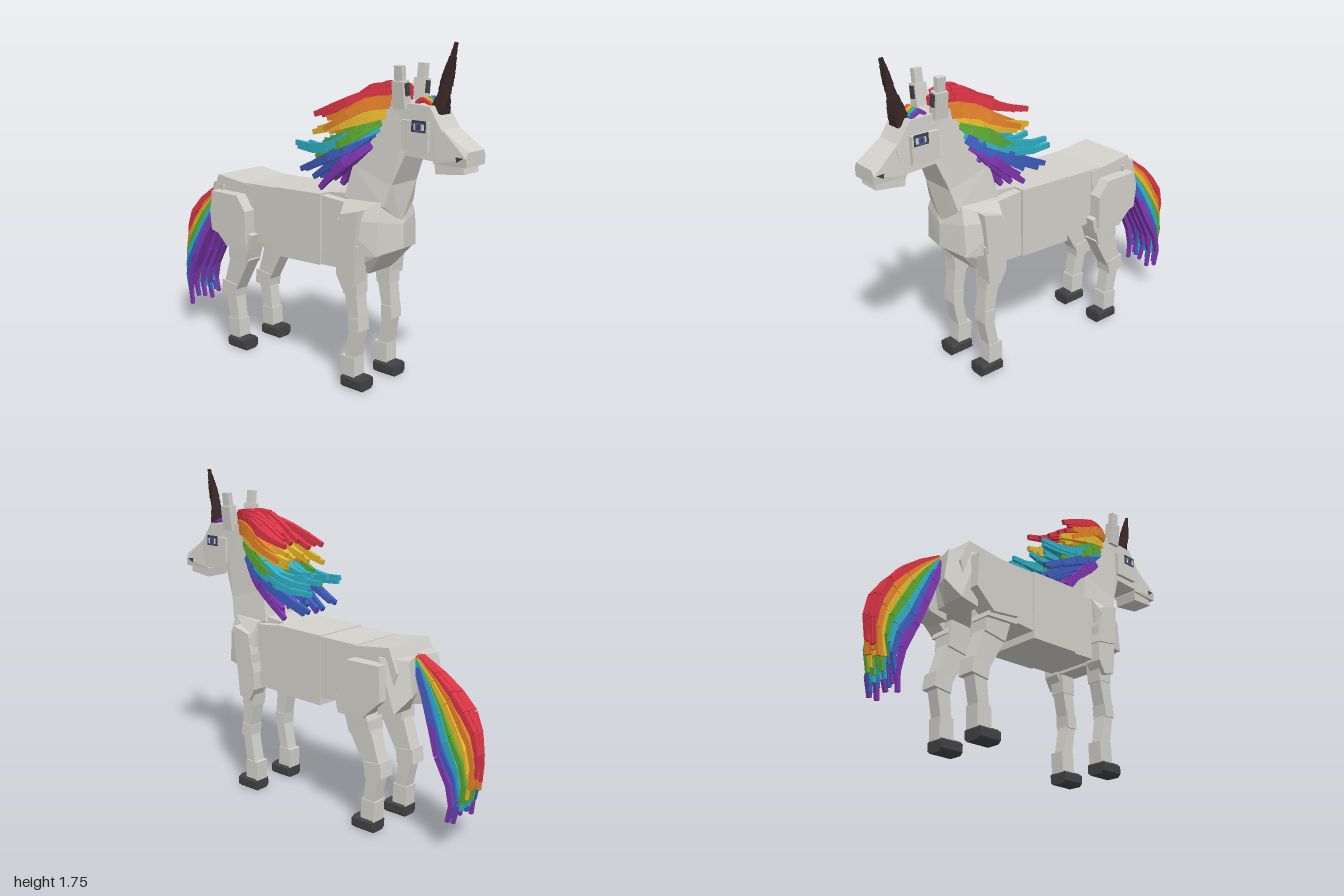
import * as THREE from 'three';
import { mergeGeometries } from 'three/addons/utils/BufferGeometryUtils.js';
import { ConvexGeometry } from 'three/addons/geometries/ConvexGeometry.js';

const paint = (name, color) => Object.assign(new THREE.MeshStandardMaterial({ color }), { name });
const V = (p) => new THREE.Vector3(...p);

// small seeded random, -1..1
let seed = 7;
const rnd = () => {
  seed = (seed * 16807) % 2147483647;
  return (seed / 2147483647) * 2 - 1;
};

// tapered box from a to b; sizes are [width across, depth] at each end
function link(a, b, [wa, da], [wb, db] = [wa, da], twist = 0) {
  const A = V(a), B = V(b);
  const dir = B.clone().sub(A).normalize();
  const u = new THREE.Vector3(1, 0, 0).addScaledVector(dir, -dir.x).normalize();
  u.applyAxisAngle(dir, twist);
  const v = u.clone().cross(dir);
  const g = new THREE.BoxGeometry(1, 1, 1);
  const pos = g.attributes.position;
  for (let i = 0; i < pos.count; i++) {
    const end = pos.getY(i) > 0;
    const p = (end ? B : A).clone()
      .addScaledVector(u, pos.getX(i) * (end ? wb : wa))
      .addScaledVector(v, pos.getZ(i) * (end ? db : da));
    pos.setXYZ(i, p.x, p.y, p.z);
  }
  g.computeVertexNormals();
  return g;
}

// chain of tapered boxes along a path, thinning towards the tip
function strand(points, width, depth) {
  const n = points.length - 1;
  const size = (i) => {
    const k = 1 - 0.55 * Math.max(0, i / n - 0.3) / 0.7;
    return [width * k, depth * k];
  };
  return points.slice(1).map((p, i) => link(points[i], p, size(i), size(i + 0.7)));
}

// solid between side outline [z, y] and x0..x1
const slabPoints = (outline, x0, x1) => outline.flatMap(([z, y]) => [[x0, y, z], [x1, y, z]]);
const hull = (pts) => new ConvexGeometry(pts.map(V));
// solid symmetric in x from points [x, y, z]
const symHull = (pts) => hull(pts.flatMap(([x, y, z]) => [[x, y, z], [-x, y, z]]));

export function createModel() {
  seed = 7;
  const model = new THREE.Group();
  model.name = 'unicorn';
  const coat = paint('coat', 0xd3d1cb);
  const hoofMat = paint('hoof', 0x424245);
  const hornMat = paint('horn', 0x382726);
  const rainbow = [
    ['red', 0xdc3545], ['orange', 0xe6822a], ['yellow', 0xeab92e], ['green', 0x5aa832],
    ['teal', 0x2fafc4], ['blue', 0x3f5fc0], ['purple', 0x7d36ae],
  ].map(([n, c]) => paint(n, c));
  const add = (name, geometry, material = coat, parent = model) => {
    const m = new THREE.Mesh(geometry, material);
    m.name = name;
    parent.add(m);
    return m;
  };

  // torso
  const slab = (name, outline, x0, x1, mat) => add(name, hull(slabPoints(outline, x0, x1)), mat);
  slab('foreBarrel', [[0.46, 0.95], [0.2, 0.97], [0.2, 0.61], [0.44, 0.62]], -0.15, 0.15);
  slab('barrel', [[0.2, 0.98], [-0.11, 0.97], [-0.11, 0.6], [0.2, 0.61]], -0.165, 0.165);
  slab('loin', [[-0.11, 0.965], [-0.34, 0.96], [-0.34, 0.66], [-0.11, 0.64]], -0.16, 0.16);
  slab('croup', [[-0.28, 0.95], [-0.55, 0.98], [-0.6, 0.86], [-0.56, 0.68], [-0.3, 0.66]], -0.165, 0.165);
  slab('withers', [[0.42, 0.96], [0.4, 1.0], [0.2, 0.98], [0.2, 0.94]], -0.1, 0.1);
  add('chest', symHull([
    [0.12, 0.98, 0.55], [0.15, 0.97, 0.35], [0.21, 0.88, 0.36], [0.15, 0.89, 0.56],
    [0.0, 0.86, 0.6], [0.16, 0.72, 0.56], [0.0, 0.74, 0.605], [0.2, 0.7, 0.36],
  ]));
  add('brisket', symHull([
    [0.13, 0.73, 0.57], [0.09, 0.6, 0.46], [0.14, 0.72, 0.35], [0.12, 0.6, 0.35],
  ]));

  // neck
  add('lowerNeck', symHull([
    [0.12, 0.96, 0.57], [0.12, 0.97, 0.32], [0.1, 1.07, 0.6], [0.1, 1.14, 0.36], [0.0, 0.87, 0.59],
  ]));
  add('upperNeck', symHull([
    [0.1, 1.07, 0.6], [0.1, 1.14, 0.36], [0.08, 1.24, 0.67], [0.085, 1.3, 0.42], [0.075, 1.46, 0.56], [0.075, 1.4, 0.66],
  ]));

  // head
  add('skull', symHull([
    [0.075, 1.46, 0.79], [0.075, 1.47, 0.56], [0.075, 1.34, 0.87], [0.08, 1.21, 0.84],
    [0.08, 1.22, 0.66], [0.075, 1.36, 0.52],
  ]));
  add('muzzle', symHull([
    [0.065, 1.27, 1.0], [0.08, 1.24, 1.0], [0.075, 1.2, 1.0], [0.07, 1.36, 0.86], [0.08, 1.2, 0.82], [0.065, 1.285, 0.92],
  ]));
  add('lowerJaw', symHull([
    [0.06, 1.195, 0.975], [0.06, 1.165, 0.98], [0.07, 1.15, 0.83], [0.07, 1.21, 0.82],
  ]));
  for (const s of [1, -1]) {
    const side = s > 0 ? 'left' : 'right';
    const plate = (name, outline, x0, x1, mat) => slab(side + name, outline, s * x0, s * x1, mat);
    const rect = (z0, z1, y0, y1) => [[z0, y0], [z1, y0], [z1, y1], [z0, y1]];
    plate('Cheek', rect(0.8, 0.65, 1.25, 1.39), 0.06, 0.1);
    plate('EyeLid', rect(0.79, 0.71, 1.34, 1.395), 0.1, 0.103, hoofMat);
    plate('EyeWhite', rect(0.782, 0.725, 1.35, 1.38), 0.103, 0.105);
    plate('EyeIris', rect(0.767, 0.735, 1.345, 1.383), 0.105, 0.107, rainbow[5]);
    plate('EyePupil', rect(0.759, 0.743, 1.352, 1.376), 0.107, 0.109, hoofMat);
    plate('Nostril', [[0.985, 1.243], [0.945, 1.245], [0.95, 1.222]], 0.076, 0.083, hoofMat);
    add(side + 'Ear', mergeGeometries([
      link([s * 0.07, 1.44, 0.63], [s * 0.088, 1.57, 0.63], [0.055, 0.07], [0.05, 0.065]),
      link([s * 0.088, 1.57, 0.63], [s * 0.095, 1.64, 0.63], [0.032, 0.045]),
    ]));
    add(side + 'InnerEar', link([s * 0.076, 1.5, 0.667], [s * 0.085, 1.56, 0.665], [0.03, 0.008]), hoofMat);

    // front leg
    const x = s * 0.133;
    plate('Shoulder', [[0.48, 0.94], [0.37, 0.91], [0.33, 0.7], [0.46, 0.72]], 0.14, 0.21);
    plate('UpperArm', [[0.47, 0.76], [0.34, 0.8], [0.34, 0.6], [0.38, 0.53], [0.45, 0.55]], 0.11, 0.2);
    add(side + 'FrontLeg', mergeGeometries([
      link([x, 0.68, 0.4], [x, 0.5, 0.41], [0.09, 0.1], [0.085, 0.085]),
      link([x, 0.54, 0.405], [x, 0.35, 0.435], [0.075, 0.08], [0.075, 0.06]),
      link([x, 0.38, 0.43], [x, 0.31, 0.435], [0.085, 0.065]),
      link([x, 0.33, 0.435], [x, 0.14, 0.4], [0.07, 0.06]),
      link([x, 0.17, 0.395], [x, 0.06, 0.4], [0.08, 0.085]),
    ]));

    // hind leg
    plate('Haunch', [[-0.28, 0.82], [-0.34, 0.9], [-0.54, 0.9], [-0.55, 0.72], [-0.44, 0.62], [-0.28, 0.64]], 0.13, 0.23);
    plate('Stifle', [[-0.25, 0.69], [-0.42, 0.72], [-0.46, 0.6], [-0.27, 0.61]], 0.09, 0.21);
    add(side + 'Buttock', hull([
      ...slabPoints([[-0.5, 0.93], [-0.5, 0.64], [-0.6, 0.66]], s * 0.05, s * 0.18),
      [s * 0.12, 0.92, -0.64], [s * 0.03, 0.92, -0.61], [s * 0.13, 0.75, -0.67], [s * 0.05, 0.75, -0.64],
    ]));
    add(side + 'HindLeg', mergeGeometries([
      link([x, 0.7, -0.36], [x, 0.52, -0.39], [0.12, 0.17], [0.11, 0.13]),
      link([x, 0.56, -0.375], [x, 0.34, -0.47], [0.085, 0.14], [0.08, 0.09]),
      link([x, 0.38, -0.465], [x, 0.3, -0.475], [0.095, 0.105]),
      link([x, 0.32, -0.465], [x, 0.14, -0.435], [0.07, 0.08], [0.07, 0.065]),
      link([x, 0.17, -0.44], [x, 0.06, -0.435], [0.08, 0.085]),
    ]));

    // hooves with clipped corners
    for (const [name, z] of [['FrontHoof', 0.425], ['HindHoof', -0.41]]) {
      const corners = [];
      for (const i of [1, -1]) for (const k of [1, -1]) {
        corners.push([x + i * 0.052, 0.015, z + k * 0.065], [x + i * 0.052, 0.055, z + k * 0.065],
          [x + i * 0.035, 0, z + k * 0.065], [x + i * 0.035, 0.07, z + k * 0.06]);
      }
      add(side + name, hull(corners), hoofMat);
    }
  }

  // horn of twisted square blocks
  const horn = [];
  const at = (t) => [0, 1.43 + 0.32 * t, 0.795 + 0.08 * t];
  for (let i = 0; i < 10; i++) {
    const w = 0.072 - 0.0058 * i;
    horn.push(link(at(i / 10), at((i + 1) / 10), [w, w], [w * 0.88, w * 0.88], i * 0.25));
  }
  add('horn', mergeGeometries(horn), hornMat);

  // mane: one path [x, y, z] per colour, mirrored and repeated in locks
  const manePaths = [
    [[0.02, 1.49, 0.6], [0.08, 1.5, 0.47], [0.13, 1.45, 0.32], [0.14, 1.39, 0.15]],
    [[0.05, 1.45, 0.57], [0.1, 1.44, 0.46], [0.135, 1.38, 0.34], [0.14, 1.32, 0.2]],
    [[0.06, 1.42, 0.53], [0.11, 1.38, 0.42], [0.135, 1.33, 0.29], [0.13, 1.28, 0.13]],
    [[0.07, 1.38, 0.5], [0.115, 1.32, 0.41], [0.135, 1.26, 0.3], [0.12, 1.2, 0.15]],
    [[0.07, 1.34, 0.49], [0.12, 1.28, 0.36], [0.135, 1.2, 0.18], [0.12, 1.2, -0.01]],
    [[0.08, 1.3, 0.47], [0.12, 1.22, 0.37], [0.135, 1.14, 0.21], [0.11, 1.06, 0.02]],
    [[0.08, 1.25, 0.45], [0.125, 1.17, 0.36], [0.13, 1.09, 0.26], [0.13, 1.02, 0.17]],
  ];
  const smooth = (pts, n) => new THREE.CatmullRomCurve3(pts.map(V)).getPoints(n).map((p) => p.toArray());
  manePaths.forEach((path, c) => {
    const locks = [];
    for (const s of [1, -1]) {
      for (let j = 0; j < 5; j++) {
        const inward = [1, 0.95, 0.7, 0.45, 0.2][j];
        const short = j === 0 ? 0 : 0.03 * j;
        const dy = rnd() * 0.022, tip = rnd() * 0.03;
        const pts = path.map(([x, y, z], i) => {
          const t = i / 3;
          return [s * x * (1 - (1 - inward) * Math.min(1, t + 0.3)),
            y + dy + tip * t * t + (j > 2 ? 0.01 : 0), z + short * t * t + rnd() * 0.012];
        });
        locks.push(...strand(smooth(pts, 5), 0.038, 0.052));
      }
    }
    add(rainbow[c].name + 'Mane', mergeGeometries(locks), rainbow[c]);
  });

  // tail: colours fan from the outer curve to the inner one
  const outer = [[-0.61, 0.91], [-0.78, 0.81], [-0.9, 0.69], [-0.97, 0.55], [-0.965, 0.37]];
  const inner = [[-0.62, 0.88], [-0.72, 0.68], [-0.81, 0.48], [-0.89, 0.3], [-0.87, 0.17]];
  rainbow.forEach((mat, c) => {
    const t = c / 6, locks = [];
    for (let j = 0; j < 5; j++) {
      const f = (j - 2) / 2;
      const spread = f * (0.03 + 0.075 * t), drop = rnd() * 0.035;
      const pts = outer.map(([z, y], i) => {
        const k = i / 4;
        return [spread * Math.min(1, 0.25 + 1.6 * k) + rnd() * 0.006,
          y + (inner[i][1] - y) * t + drop * k * k,
          z + (inner[i][0] - z) * t + rnd() * 0.008];
      });
      locks.push(...strand(smooth(pts, 6), 0.036, 0.038));
    }
    add(mat.name + 'Tail', mergeGeometries(locks), mat);
  });

  // forelock, one small lock per colour
  rainbow.forEach((mat, c) => {
    const x = -0.038 + c * 0.015;
    add(mat.name + 'Forelock', mergeGeometries(strand(
      [[x, 1.465, 0.69], [x, 1.487, 0.72], [x + 0.004, 1.47, 0.755], [x + 0.008, 1.435, 0.8]], 0.015, 0.018)), mat);
  });
  return model;
}
